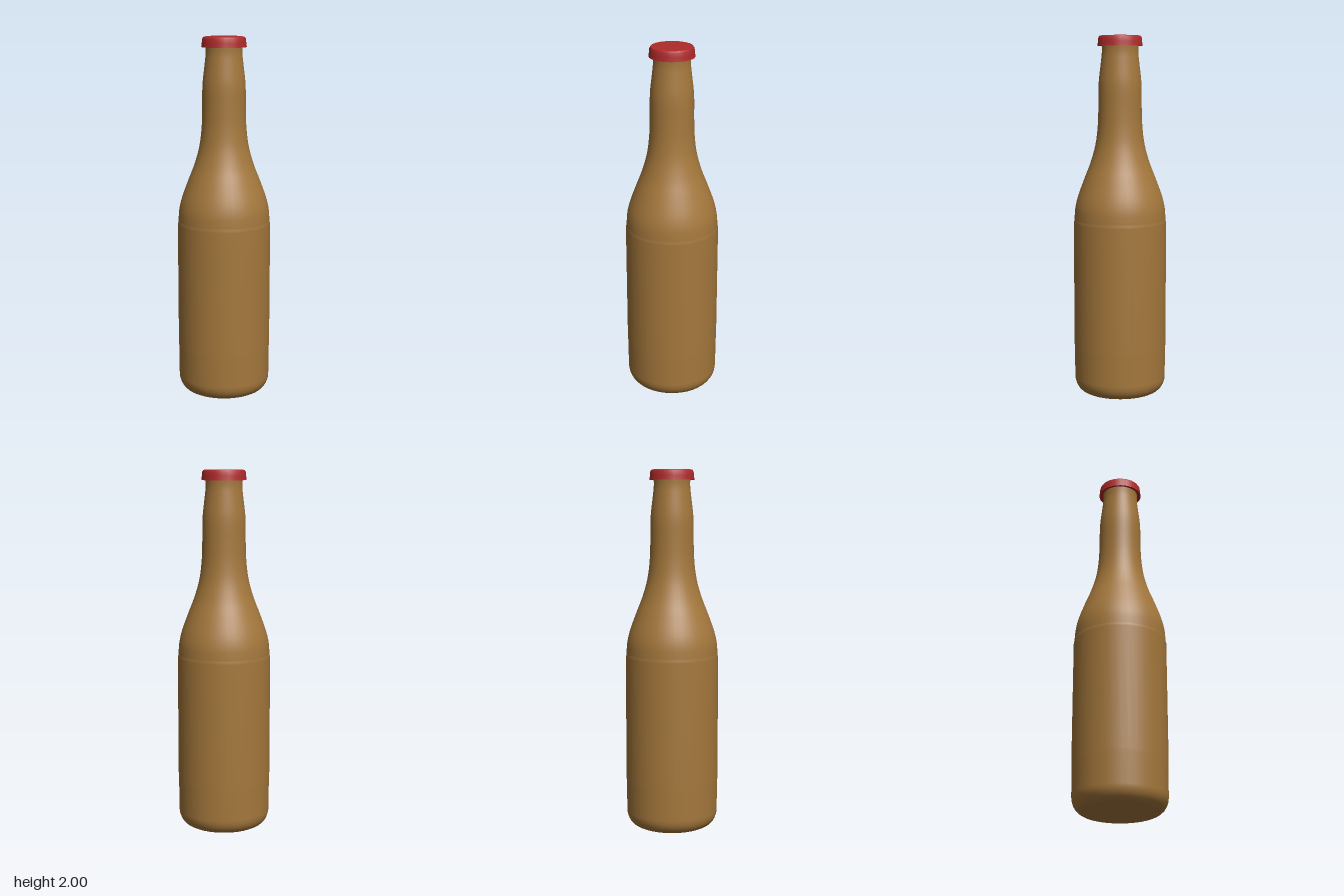
import * as THREE from 'three';

// Revolve a smooth curve through [radius, height] points
function smoothProfile(points, divisions) {
  const curve = new THREE.CatmullRomCurve3(
    points.map(([r, y]) => new THREE.Vector3(r, y, 0)), false, 'centripetal');
  return curve.getPoints(divisions).map(p => new THREE.Vector2(p.x, p.y));
}

function lathe(name, profile, sides, material) {
  const mesh = new THREE.Mesh(new THREE.LatheGeometry(profile, sides), material);
  mesh.name = name;
  return mesh;
}

const v = (r, y) => new THREE.Vector2(r, y);

export function createModel() {
  const group = new THREE.Group();
  group.name = 'bottle';
  const glass = new THREE.MeshStandardMaterial({ color: 0xa5783c });
  const red = new THREE.MeshStandardMaterial({ color: 0xb02a2a, side: THREE.DoubleSide });

  // Rounded base and straight body, with a fine ledge at the shoulder
  const base = [v(0, 0.006), v(0.12, 0.004), v(0.19, 0)];
  for (let i = 1; i <= 6; i++) {
    const a = (i / 6) * Math.PI / 2;
    base.push(v(0.19 + 0.066 * Math.sin(a), 0.085 - 0.085 * Math.cos(a)));
  }
  base.push(v(0.257, 0.25), v(0.259, 0.27), v(0.259, 0.965), v(0.255, 0.978));

  // Shoulder sweeping into the slim neck
  const neck = smoothProfile([
    [0.255, 0.99], [0.25, 1.05], [0.236, 1.11], [0.2, 1.21], [0.165, 1.3],
    [0.137, 1.4], [0.124, 1.5], [0.12, 1.6], [0.118, 1.74], [0.106, 1.85],
    [0.1, 1.91], [0.101, 1.96]], 44);
  group.add(lathe('glassBody', [...base, ...neck], 40, glass));

  // Crown cap: flared skirt, bevelled rim, flat top and closed underside
  const cap = new THREE.Group();
  cap.name = 'cap';
  cap.add(lathe('capSkirt', [v(0.124, 1.943), v(0.121, 1.965), v(0.119, 1.988), v(0.113, 1.997)], 20, red));
  cap.add(lathe('capTop', [v(0.113, 1.997), v(0.1, 2), v(0, 2)], 20, red));
  cap.add(lathe('capUnderside', [v(0.1, 1.95), v(0.124, 1.943)], 20, red));
  group.add(cap);

  return group;
}
